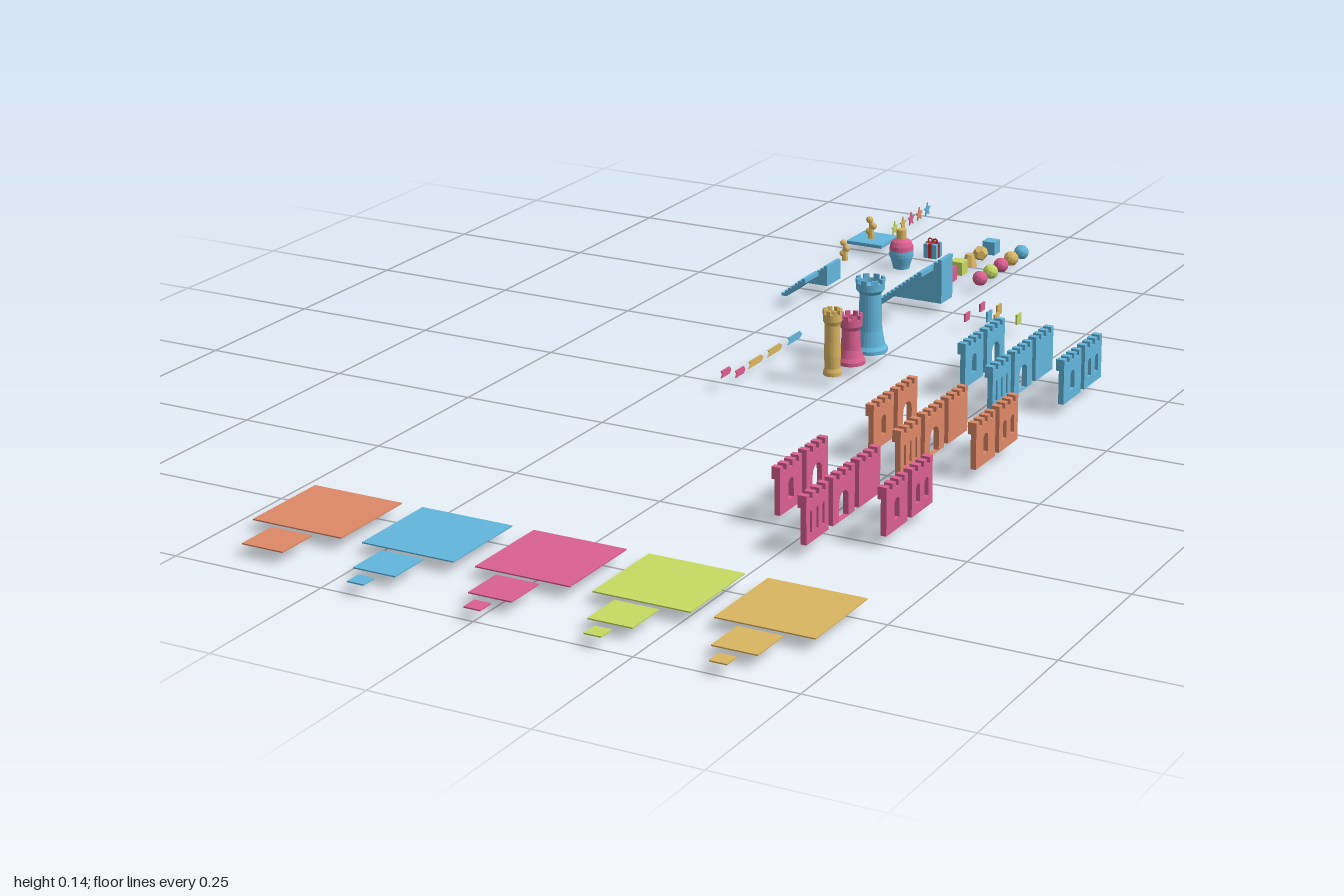
import * as THREE from 'three';

const C = { orange: 0xdd8866, blue: 0x62b6dc, pink: 0xda6090, lime: 0xc6da62, gold: 0xd9b562, red: 0xc03038, grey: 0xcccccc };
const FLOOR = 0.018;
const mats = {};
for (const k in C) mats[k] = new THREE.MeshStandardMaterial({ color: C[k], side: THREE.DoubleSide, flatShading: true });

export function createModel() {
  const root = new THREE.Group();
  const add = (name, geo, color, x = 0, y = 0, z = 0, parent = root) => {
    const m = new THREE.Mesh(geo, mats[color]);
    m.name = name;
    m.position.set(x, y, z);
    parent.add(m);
    return m;
  };
  const group = (name, x = 0, y = 0, z = 0) => {
    const g = new THREE.Group();
    g.name = name;
    g.position.set(x, y, z);
    root.add(g);
    return g;
  };
  const box = (w, h, d) => new THREE.BoxGeometry(w, h, d);
  const poly = pts => new THREE.Shape(pts.map(p => new THREE.Vector2(...p)));
  const extrude = (shape, depth) => new THREE.ExtrudeGeometry(shape, { depth, bevelEnabled: false, curveSegments: 6 });
  // Shape drawn facing the side: extruded along +x
  const sideways = (shape, depth) => extrude(shape, depth).rotateY(Math.PI / 2);

  // Floor plates in three sizes
  ['orange', 'blue', 'pink', 'lime', 'gold'].forEach((c, i) => {
    const x = -0.382 + i * 0.19;
    add('largePlate', box(0.154, 0.002, 0.152), c, x, FLOOR, 0.797);
    add('mediumPlate', box(0.07, 0.002, 0.07), c, x, FLOOR, 0.92);
    if (i) add('smallPlate', box(0.027, 0.002, 0.027), c, x, FLOOR, 0.986);
  });

  // Castle walls: pierced panel, overhanging parapet and merlons
  const arch = (cx, y0, w, h) => {
    const p = new THREE.Path();
    p.moveTo(cx - w / 2, y0);
    p.lineTo(cx + w / 2, y0);
    p.lineTo(cx + w / 2, y0 + h - w / 2);
    p.absarc(cx, y0 + h - w / 2, w / 2, 0, Math.PI, false);
    p.lineTo(cx - w / 2, y0);
    return p;
  };
  const openings = {
    solid: [],
    gate: [[0, 0.001, 0.03, 0.042]],
    pair: [[-0.014, 0.016, 0.013, 0.03], [0.014, 0.016, 0.013, 0.03]],
    slots: [[-0.019, 0.014, 0.006, 0.034], [0, 0.014, 0.006, 0.034], [0.019, 0.014, 0.006, 0.034]],
    window: [[0, 0.016, 0.016, 0.032]],
  };
  const wall = (color, kind, x, z) => {
    const g = group('wall', x, FLOOR, z);
    const s = poly([[-0.034, 0], [0.034, 0], [0.034, 0.056], [-0.034, 0.056]]);
    openings[kind].forEach(o => s.holes.push(arch(...o)));
    add('wallPanel', sideways(s, 0.009), color, -0.003, 0, 0, g);
    add('parapet', box(0.014, 0.01, 0.068), color, -0.001, 0.06, 0, g);
    for (let i = 0; i < 4; i++) add('merlon', box(0.014, 0.01, 0.01), color, -0.001, 0.069, -0.029 + i * 0.0193, g);
  };
  [['blue', -0.23], ['orange', 0.094], ['pink', 0.393]].forEach(([c, z]) => {
    wall(c, 'gate', 0.2, z);
    wall(c, 'window', 0.2, z + 0.082);
    wall(c, 'solid', 0.286, z);
    wall(c, 'gate', 0.286, z + 0.082);
    wall(c, 'slots', 0.286, z + 0.164);
    wall(c, 'pair', 0.371, z);
    wall(c, 'window', 0.371, z + 0.082);
  });
  add('stoneBlock', box(0.024, 0.045, 0.026), 'grey', 0.265, FLOOR + 0.0225, -0.257);

  // Round towers with flared foot and crenellated crown
  const tower = (color, z, h, base, shaft, crown) => {
    const g = group('tower', -0.012, FLOOR, z);
    const prof = [[0, 0], [base, 0], [base, 0.006], [base * 0.85, 0.012], [shaft * 1.1, h * 0.3], [shaft, h - 0.026],
      [crown, h - 0.019], [crown, h - 0.007], [crown - 0.004, h - 0.007], [crown - 0.004, h - 0.014], [0, h - 0.014]];
    add('towerBody', new THREE.LatheGeometry(prof.map(p => new THREE.Vector2(...p)), 24), color, 0, 0, 0, g);
    for (let i = 0; i < 8; i++) {
      const a = i * Math.PI / 4;
      const m = add('towerMerlon', box(crown * 0.42, 0.008, 0.004), color, Math.sin(a) * (crown - 0.002), h - 0.004, Math.cos(a) * (crown - 0.002), g);
      m.rotation.y = a;
    }
  };
  tower('blue', -0.21, 0.126, 0.029, 0.018, 0.024);
  tower('pink', -0.14, 0.084, 0.024, 0.015, 0.019);
  tower('gold', -0.075, 0.111, 0.015, 0.0125, 0.0155);

  // Staircases: solid blocks and open sloping flights
  const stairs = (x, z, len, h, n, depth, open) => {
    const pts = [[0, 0]];
    for (let i = 0; i < n; i++) pts.push([i * len / n, (i + 1) * h / n], [(i + 1) * len / n, (i + 1) * h / n]);
    if (open) pts.push([len, h * (1 - 1.5 / n)], [len * 1.5 / n, 0]);
    else pts.push([len, 0]);
    add(open ? 'openStairs' : 'solidStairs', extrude(poly(pts), depth), 'blue', x, FLOOR, z - depth / 2);
  };
  stairs(-0.115, -0.508, 0.1, 0.078, 14, 0.044, false);
  stairs(-0.115, -0.43, 0.1, 0.078, 14, 0.046, true);
  stairs(-0.28, -0.508, 0.046, 0.036, 7, 0.05, false);
  stairs(-0.28, -0.425, 0.046, 0.036, 7, 0.05, true);

  // Square pedestal with a golden ornament, and a second ornament beside it
  add('pedestal', box(0.07, 0.006, 0.07), 'blue', -0.29, FLOOR - 0.001, -0.77);
  const ornament = (z, y0, s) => {
    const g = group('ornament', -0.293, y0, z);
    add('ornamentStem', new THREE.CylinderGeometry(0.003 * s, 0.006 * s, 0.034 * s, 8), 'gold', 0, 0.017 * s, 0, g);
    [[-0.004, 0.012], [0.004, 0.022], [-0.003, 0.032]].forEach(([x, y]) =>
      add('ornamentKnob', new THREE.IcosahedronGeometry(0.006 * s, 1), 'gold', x * s, y * s, 0, g));
  };
  ornament(-0.77, 0.019, 1.1);
  ornament(-0.665, 0.007, 1);

  // Striped round jar with a neck
  const jar = group('jar', -0.193, 0, -0.692);
  const ring = (name, color, pts) => add(name, new THREE.LatheGeometry(pts.map(p => new THREE.Vector2(...p)), 24), color, 0, 0, 0, jar);
  ring('jarFoot', 'blue', [[0, 0], [0.015, 0], [0.016, 0.006], [0.019, 0.016], [0.0205, 0.022]]);
  ring('jarBand', 'blue', [[0.0215, 0.022], [0.022, 0.028], [0.0215, 0.034]]);
  ring('jarShoulder', 'pink', [[0.0215, 0.034], [0.021, 0.042], [0.017, 0.05], [0.009, 0.055], [0, 0.055]]);
  add('jarNeck', new THREE.CylinderGeometry(0.009, 0.009, 0.019, 16), 'gold', 0, 0.0625, 0, jar);

  // Gift box with ribbon and bow
  const gift = group('giftBox', -0.166, 0.004, -0.765);
  add('giftBody', box(0.025, 0.026, 0.025), 'blue', 0, 0.013, 0, gift);
  add('ribbonAcross', box(0.026, 0.027, 0.007), 'red', 0, 0.0135, 0, gift);
  add('ribbonAlong', box(0.007, 0.027, 0.026), 'red', 0, 0.0135, 0, gift);
  for (const s of [-1, 1]) add('bowLoop', new THREE.TorusGeometry(0.004, 0.0015, 6, 12), 'red', s * 0.005, 0.03, 0, gift);

  // Row of flat stars
  const starPts = [];
  for (let i = 0; i < 10; i++) {
    const r = i % 2 ? 0.006 : 0.0135, a = Math.PI / 2 + i * Math.PI / 5;
    starPts.push([r * Math.cos(a), r * Math.sin(a)]);
  }
  ['lime', 'gold', 'pink', 'orange', 'blue'].forEach((c, i) =>
    add('star', sideways(poly(starPts), 0.002), c, -0.286, FLOOR, -0.85 - i * 0.0343));

  // Baubles and blocks in two rows
  ['blue', 'gold', 'pink', 'lime', 'pink'].forEach((c, i) =>
    add('bauble', new THREE.IcosahedronGeometry(0.0135, 1), c, -0.008, 0.025, -0.803 + i * 0.0437));
  const blocks = [
    ['blue', box(0.024, 0.024, 0.024)],
    ['gold', new THREE.DodecahedronGeometry(0.014)],
    ['gold', new THREE.CylinderGeometry(0.008, 0.014, 0.022, 8)],
    ['lime', box(0.024, 0.024, 0.024)],
    ['pink', box(0.025, 0.025, 0.025)],
  ];
  blocks.forEach(([c, geo], i) => add('toyBlock', geo, c, -0.07, 0.025, -0.808 + i * 0.0455));

  // Flat side-facing pennants
  const pennant = poly([[-0.025, -0.006], [0.017, -0.006], [0.025, 0], [0.017, 0.006], [-0.025, 0.006], [-0.018, 0]]);
  [['blue', -0.21, FLOOR], ['gold', -0.14, FLOOR], ['gold', -0.075, FLOOR], ['pink', -0.022, 0.016], ['pink', 0.025, 0.03]].forEach(([c, z, y], i) => {
    const m = add('pennant', sideways(pennant, 0.002), c, -0.154, y, z);
    if (i > 2) m.scale.z = 0.65;
  });

  // Tiny thin markers
  [['pink', 0.063, -0.485, 0.014], ['pink', 0.063, -0.425, 0.014], ['gold', 0.097, -0.48, 0.018], ['blue', 0.097, -0.44, 0.018],
    ['gold', 0.114, -0.432, 0.018], ['lime', 0.147, -0.45, 0.018]].forEach(([c, x, z, h]) =>
    add('marker', box(0.003, h, 0.018), c, x, FLOOR + h / 2, z));

  return root;
}
